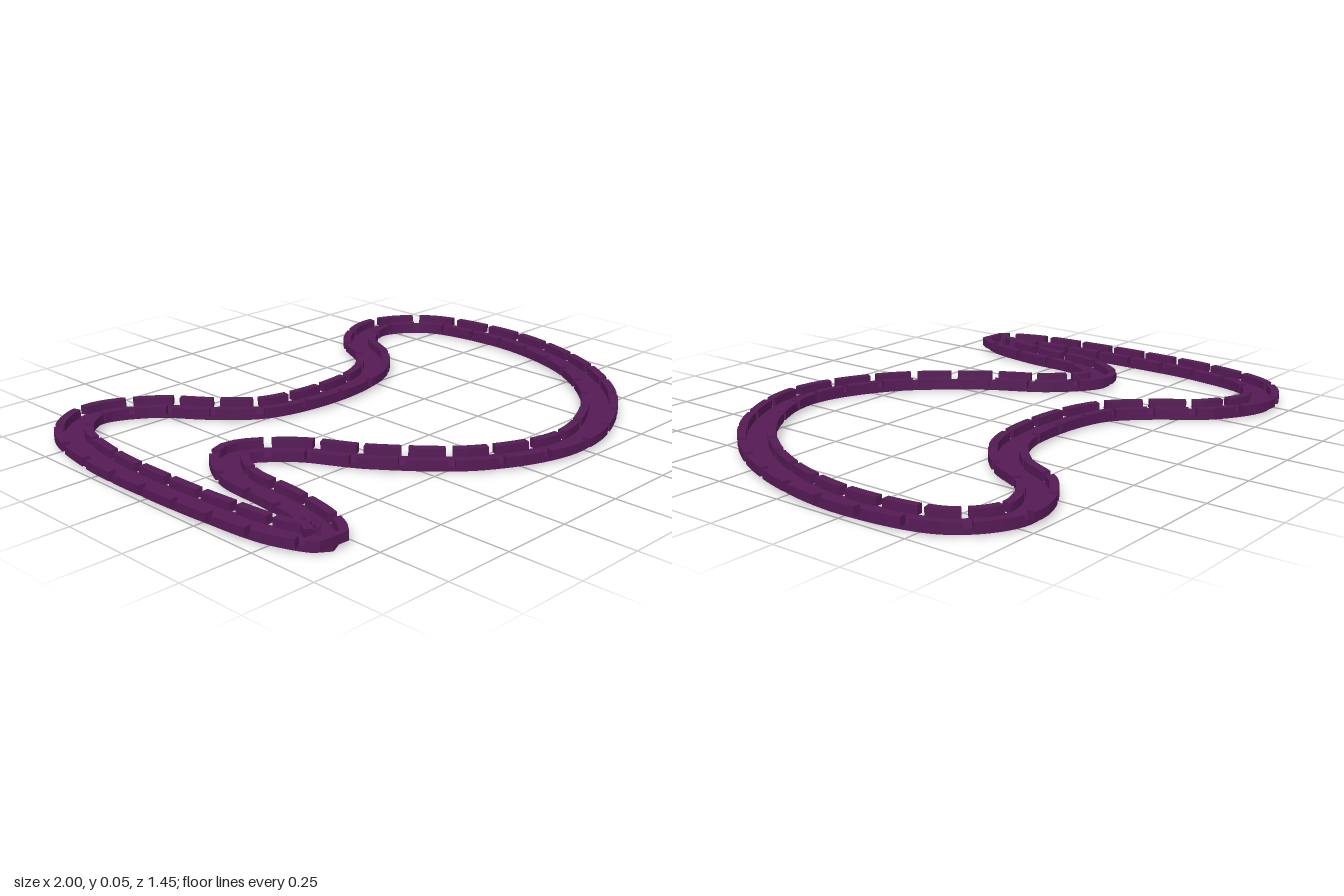
import * as THREE from 'three';

// centre line of the circuit as x, z pairs
const PATH = [
  [-0.935, 0], [-0.925, -0.3], [-0.855, -0.55], [-0.70, -0.65], [-0.515, -0.565],
  [-0.385, -0.405], [-0.25, -0.285], [0, -0.24], [0.245, -0.28], [0.395, -0.40],
  [0.5, -0.575], [0.70, -0.665], [0.87, -0.555], [0.935, -0.265], [0.90, 0.03],
  [0.775, 0.31], [0.56, 0.535], [0.235, 0.66], [-0.075, 0.55], [-0.315, 0.295],
  [-0.45, 0.07], [-0.605, -0.035], [-0.715, 0.11], [-0.74, 0.35], [-0.78, 0.54],
  [-0.83, 0.615], [-0.895, 0.49], [-0.925, 0.24],
];
const SEGMENTS = 46;
const UP = new THREE.Vector3(0, 1, 0);

// sweep a rectangle (side offset r0..r1, height y0..y1) along part of the curve
function sweep(curve, u0, u1, steps, [r0, r1], [y0, y1], capped) {
  const section = [[r0, y0], [r1, y0], [r1, y1], [r0, y1]];
  const positions = [];
  const index = [];
  for (let i = 0; i <= steps; i++) {
    const u = (u0 + (u1 - u0) * i / steps) % 1;
    const p = curve.getPointAt(u);
    const n = UP.clone().cross(curve.getTangentAt(u)).normalize();
    for (const [r, y] of section) positions.push(p.x + n.x * r, y, p.z + n.z * r);
  }
  for (let i = 0; i < steps; i++) {
    for (let k = 0; k < 4; k++) {
      const a = i * 4 + k, b = i * 4 + (k + 1) % 4;
      index.push(a, b, b + 4, a, b + 4, a + 4);
    }
  }
  if (capped) {
    const e = steps * 4;
    index.push(0, 2, 1, 0, 3, 2, e, e + 1, e + 2, e, e + 2, e + 3);
  }
  const geo = new THREE.BufferGeometry();
  geo.setAttribute('position', new THREE.Float32BufferAttribute(positions, 3));
  geo.setIndex(index);
  const flat = geo.toNonIndexed();
  flat.computeVertexNormals();
  return flat;
}

export function createModel() {
  const model = new THREE.Group();
  model.name = 'raceTrack';
  const material = new THREE.MeshStandardMaterial({ color: 0x551a55 });
  const curve = new THREE.CatmullRomCurve3(
    PATH.map(([x, z]) => new THREE.Vector3(x, 0, z)), true, 'centripetal');
  curve.arcLengthDivisions = 1000;

  // continuous road slab
  const road = new THREE.Mesh(sweep(curve, 0, 1, 276, [-0.04, 0.04], [0, 0.018], false), material);
  road.name = 'road';
  model.add(road);

  // broken kerb walls along both edges
  const gap = 0.024 / curve.getLength();
  for (const [name, span] of [['leftWall', [0.034, 0.063]], ['rightWall', [-0.063, -0.034]]]) {
    const wall = new THREE.Group();
    wall.name = name;
    for (let i = 0; i < SEGMENTS; i++) {
      const block = new THREE.Mesh(
        sweep(curve, i / SEGMENTS + gap / 2, (i + 1) / SEGMENTS - gap / 2, 5, span, [0.016, 0.046], true),
        material);
      block.name = 'wallBlock';
      wall.add(block);
    }
    model.add(wall);
  }
  return model;
}
